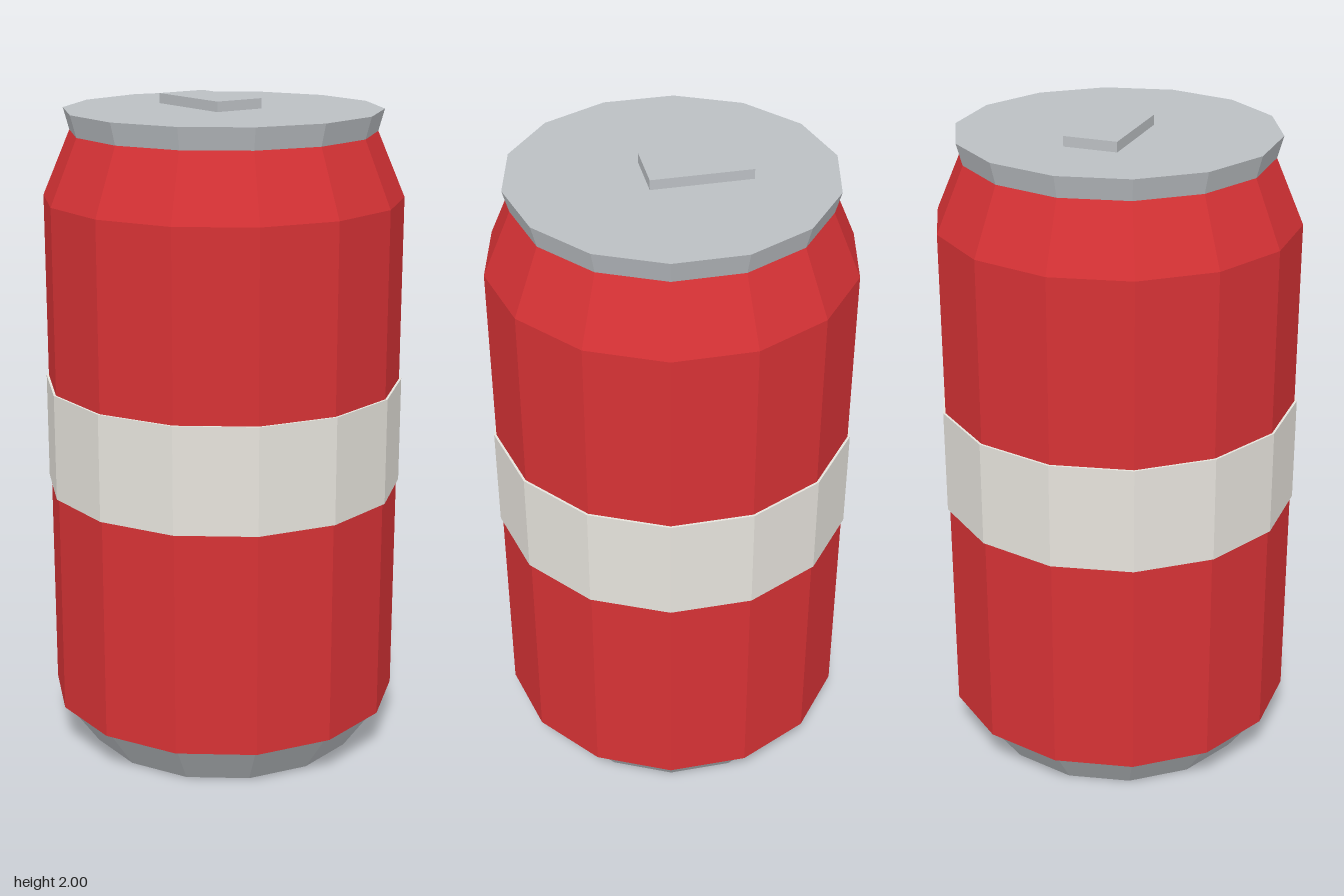
import * as THREE from 'three';

const SIDES = 14;

function material(name, color) {
  const m = new THREE.MeshStandardMaterial({ color, flatShading: true });
  m.name = name;
  return m;
}

export function createModel() {
  const can = new THREE.Group();
  can.name = 'drinkCan';
  const red = material('red', 0xd63235);
  const cream = material('cream', 0xe6e3dc);
  const metal = material('metal', 0xbbbfc3);

  // Closed ring section between two heights
  function section(name, mat, y0, r0, y1, r1) {
    const geo = new THREE.CylinderGeometry(r1, r0, y1 - y0, SIDES);
    const mesh = new THREE.Mesh(geo, mat);
    mesh.name = name;
    mesh.position.y = (y0 + y1) / 2;
    can.add(mesh);
  }

  // Tapered foot, inset a little under the body
  section('base', metal, 0, 0.43, 0.135, 0.525);

  // Straight wall and sloping shoulder in one profile, open at the hidden top
  const profile = [[0, 0.135], [0.54, 0.135], [0.54, 1.71], [0.457, 1.905]]
    .map(([r, y]) => new THREE.Vector2(r, y));
  const body = new THREE.Mesh(new THREE.LatheGeometry(profile, SIDES), red);
  body.name = 'body';
  can.add(body);

  // Raised label band
  section('band', cream, 0.825, 0.547, 1.15, 0.547);

  // Flared lid
  section('lid', metal, 1.905, 0.457, 1.97, 0.475);

  // Pull tab, set towards the back
  const tab = new THREE.Mesh(new THREE.BoxGeometry(0.16, 0.03, 0.295), metal);
  tab.name = 'pullTab';
  tab.position.set(0, 1.985, -0.0675);
  can.add(tab);

  return can;
}
